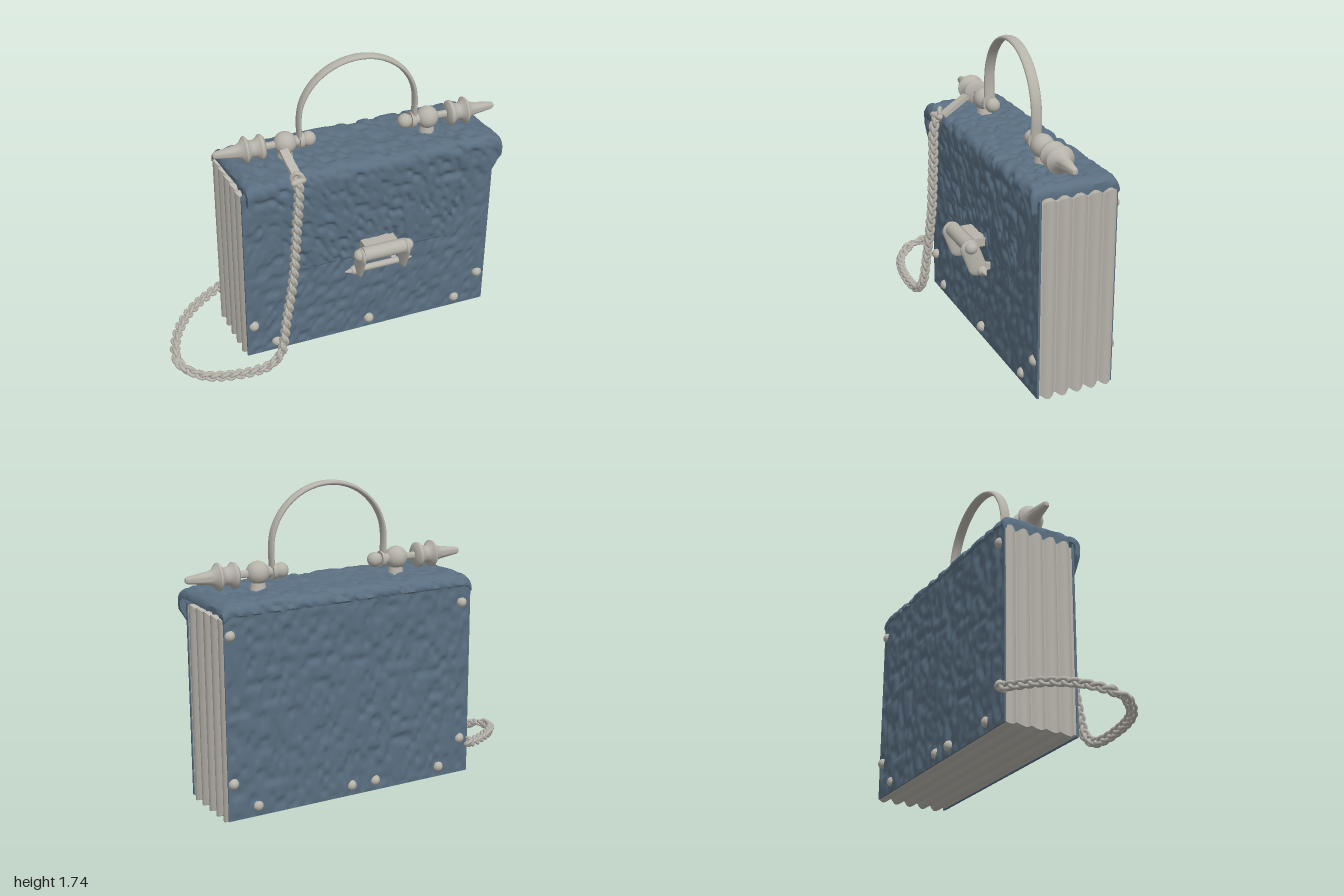
import * as THREE from 'three';
import { toCreasedNormals } from 'three/addons/utils/BufferGeometryUtils.js';

const V = (x, y, z) => new THREE.Vector3(x, y, z);

// smooth value noise for the dented hide
function hash(i, j) {
  const s = Math.sin(i * 127.1 + j * 311.7) * 43758.5453;
  return s - Math.floor(s);
}
function noise(u, v) {
  const i = Math.floor(u), j = Math.floor(v);
  const f = u - i, g = v - j;
  const a = f * f * (3 - 2 * f), b = g * g * (3 - 2 * g);
  const lo = hash(i, j) * (1 - a) + hash(i + 1, j) * a;
  const hi = hash(i, j + 1) * (1 - a) + hash(i + 1, j + 1) * a;
  return lo * (1 - b) + hi * b;
}
const dent = (along, down) => 0.026 * noise(along * 37 + down * 6, down * 22) ** 2.5;

// closed rings joined into a skin
function loft(rings, crease) {
  const n = rings[0].length, index = [];
  for (let i = 0; i < rings.length - 1; i++) {
    for (let j = 0; j < n; j++) {
      const a = i * n + j, b = i * n + (j + 1) % n, c = a + n, d = b + n;
      index.push(a, b, c, b, d, c);
    }
  }
  const geo = new THREE.BufferGeometry().setFromPoints(rings.flat());
  geo.setIndex(index);
  return toCreasedNormals(geo, crease);
}

export function createModel() {
  const model = new THREE.Group();
  const hide = new THREE.MeshStandardMaterial({ color: 0x5a6f81 });
  hide.name = 'blue hide';
  const metal = new THREE.MeshStandardMaterial({ color: 0xb6b3aa });
  metal.name = 'pale grey';

  const bag = new THREE.Group();
  bag.name = 'bag';
  bag.position.set(-0.005, 0, -0.205);
  bag.rotation.y = -0.267;
  model.add(bag);

  const add = (parent, name, geo, mat, x = 0, y = 0, z = 0) => {
    const m = new THREE.Mesh(geo, mat);
    m.name = name;
    m.position.set(x, y, z);
    parent.add(m);
    return m;
  };
  const ball = (parent, name, r, x, y, z) =>
    add(parent, name, new THREE.SphereGeometry(r, 20, 14), metal, x, y, z);
  // cylinder lying along the bag
  const rod = (parent, name, r0, r1, len, x, y, z) =>
    add(parent, name, new THREE.CylinderGeometry(r1, r0, len, 16).rotateX(Math.PI / 2), metal, x, y, z);

  // pleated bellows between the two side panels, ends slightly skewed
  const pleats = 5, steps = 10, rings = [];
  for (let i = 0; i <= pleats * steps; i++) {
    const x = -0.219 + 0.434 * i / (pleats * steps);
    const d = 0.024 * (1 - Math.abs(Math.sin(Math.PI * (i / steps + 0.15)))) ;
    const s = 0.765 - d, lo = 0.002 + d, hi = 1.12 - d, k = -0.047 * x;
    rings.push([V(x, lo, k + s), V(x, lo, k - s), V(x, hi, k - s), V(x, hi, k + s)]);
  }
  add(bag, 'bellows', loft(rings, 0.6), metal);

  // dented side panels, flat at the rim
  for (const side of [1, -1]) {
    const geo = new THREE.BoxGeometry(0.012, 1.11, 1.508, 1, 76, 100);
    const p = geo.attributes.position;
    for (let i = 0; i < p.count; i++) {
      if (p.getX(i) * side > 0) {
        const rim = Math.min(0.555 - Math.abs(p.getY(i)), 0.754 - Math.abs(p.getZ(i)));
        const depth = dent(p.getZ(i) + 5 * side, p.getY(i)) - 0.006;
        p.setX(i, p.getX(i) - side * Math.min(depth, 0.009) * Math.min(1, rim / 0.03));
      }
    }
    geo.computeVertexNormals();
    add(bag, side > 0 ? 'leftPanel' : 'rightPanel', geo, hide, side * 0.217, 0.567, -0.011 * side);
  }

  // lining that fills the space under the lid
  add(bag, 'lidLining', new THREE.BoxGeometry(0.41, 0.08, 1.45), hide, 0, 1.125, 0);

  // lid that wraps over the top and narrows into the front flap
  const path = new THREE.CatmullRomCurve3([
    V(-0.228, 1.12, 0), V(-0.222, 1.155, 0), V(-0.195, 1.181, 0), V(0, 1.19, 0), V(0.2, 1.196, 0),
    V(0.25, 1.19, 0), V(0.271, 1.16, 0), V(0.27, 1.09, 0), V(0.256, 0.83, 0), V(0.241, 0.555, 0)]);
  const rows = 100, cols = 100, lid = [];
  for (let i = 0; i <= rows; i++) {
    const t = i / rows, c = path.getPointAt(t), g = path.getTangentAt(t);
    const k = c.x > 0 ? THREE.MathUtils.clamp((1.1 - c.y) / 0.545, 0, 1) : 0;
    const skew = -0.09 * c.x * (1 - k);
    const z0 = -0.764 + 0.284 * k + skew, z1 = 0.748 - 0.318 * k + skew;
    const thick = i === 0 || i === rows ? 0 : 0.026;
    const outer = [], inner = [];
    for (let j = 0; j <= cols; j++) {
      const z = z0 + (z1 - z0) * j / cols;
      const rim = Math.min(1, Math.min(z - z0, z1 - z) / 0.05);
      // the ends of the top sag slightly
      const y = c.y - 0.028 * (1 - rim) ** 2 * (1 - k);
      const h = thick ? 0.006 - dent(z + 9, t * 1.25) * (0.3 + 0.7 * rim) : -0.008;
      outer.push(V(c.x - g.y * h, y + g.x * h, z));
      inner.unshift(V(c.x + g.y * thick, y - g.x * thick, z));
    }
    lid.push(outer.concat(inner));
  }
  add(bag, 'lidAndFlap', loft(lid, 0.9), hide);

  // domed rivets: [along, height]
  const leftRivets = [[0.7, 0.22], [0.565, 0.07], [-0.015, 0.07], [-0.575, 0.07], [-0.72, 0.22]];
  const rightRivets = [[0.71, 0.22], [0.57, 0.07], [0.15, 0.07], [0, 0.07], [-0.57, 0.07], [-0.71, 0.22], [0.71, 1.03], [-0.71, 1.03]];
  for (const [s, y] of leftRivets) ball(bag, 'rivet', 0.03, 0.22, y, s);
  for (const [s, y] of rightRivets) ball(bag, 'rivet', 0.03, -0.217, y, s);

  // carrying hardware, turned a touch against the bag
  const carrier = new THREE.Group();
  carrier.name = 'carryingHardware';
  carrier.position.set(0.035, 0, 0);
  carrier.rotation.y = -0.035;
  bag.add(carrier);

  // handle mounts with turned finials, one at each end
  const finial = [[0, 0], [0.02, 0], [0.02, 0.115], [0.055, 0.118], [0.07, 0.13], [0.072, 0.145], [0.052, 0.165], [0.046, 0.19],
    [0.053, 0.205], [0.077, 0.222], [0.075, 0.232], [0.046, 0.255], [0.037, 0.28], [0.034, 0.3], [0.02, 0.395], [0.013, 0.407], [0, 0.411]]
    .map(([r, h]) => new THREE.Vector2(r, h));
  for (const end of [1, -1]) {
    const mount = new THREE.Group();
    mount.name = end > 0 ? 'frontMount' : 'backMount';
    mount.position.set(0, 1.275, 0.42 * end);
    if (end < 0) mount.rotation.y = Math.PI;
    carrier.add(mount);
    ball(mount, 'mountBall', 0.064, 0, 0, 0);
    add(mount, 'pedestal', new THREE.CylinderGeometry(0.033, 0.048, 0.08, 20), metal, 0, -0.065, 0);
    add(mount, 'finial', toCreasedNormals(new THREE.LatheGeometry(finial, 24).rotateX(Math.PI / 2), 0.7), metal);
    rod(mount, 'handlePivot', 0.03, 0.03, 0.14, 0, 0, -0.07);
    rod(mount, 'pivotCollar', 0.045, 0.045, 0.025, 0, 0, -0.09);
    ball(mount, 'pivotKnob', 0.042, 0, 0, -0.135);
  }

  // flat banded arch handle
  const arch = [V(0, 1.25, 0.335), V(0, 1.32, 0.338)];
  for (let i = 0; i <= 12; i++) {
    const a = Math.PI * i / 12;
    arch.push(V(0, 1.4 + 0.328 * Math.sin(a), 0.34 * Math.cos(a)));
  }
  arch.push(V(0, 1.32, -0.338), V(0, 1.25, -0.335));
  const handle = new THREE.TubeGeometry(new THREE.CatmullRomCurve3(arch), 64, 0.014, 12);
  add(carrier, 'handle', handle.scale(2.2, 1, 1), metal);

  // clasp on the flap
  const clasp = new THREE.Group();
  clasp.name = 'clasp';
  clasp.position.z = -0.04;
  bag.add(clasp);
  rod(clasp, 'claspRoller', 0.042, 0.042, 0.25, 0.352, 0.655, 0);
  rod(clasp, 'claspPin', 0.019, 0.019, 0.32, 0.29, 0.51, 0);
  add(clasp, 'claspPlate', new THREE.BoxGeometry(0.07, 0.05, 0.2), metal, 0.28, 0.655, 0);
  for (const end of [1, -1]) {
    const link = add(clasp, 'claspLink', new THREE.CapsuleGeometry(0.053, 0.12, 6, 16), metal, 0.334, 0.588, 0.135 * end);
    link.scale.z = 0.32;
    link.rotation.z = -0.36;
    ball(clasp, 'rollerCap', 0.036, 0.352, 0.655, 0.145 * end);
    ball(clasp, 'pinCap', 0.028, 0.29, 0.51, 0.15 * end);
    rod(clasp, 'pinTip', end > 0 ? 0.022 : 0.003, end > 0 ? 0.003 : 0.022, 0.055, 0.29, 0.51, 0.182 * end);
    rod(clasp, 'pinAnchor', 0.02, 0.02, 0.03, 0.255, 0.51, 0.1 * end).scale.x = 2.5;
  }

  // chain that hangs from the lid, sweeps over the ground and returns to the corner
  const chain = new THREE.Group();
  chain.name = 'chain';
  model.add(chain);
  const route = new THREE.CatmullRomCurve3([
    [0.15, 1.215, 0.3], [0.178, 1.16, 0.31], [0.18, 0.9, 0.33], [0.18, 0.6, 0.355], [0.18, 0.3, 0.41], [0.186, 0.1, 0.455],
    [0.178, 0.035, 0.53], [0.13, 0.04, 0.74], [0.03, 0.06, 0.91], [-0.1, 0.095, 0.968], [-0.25, 0.135, 0.885], [-0.37, 0.165, 0.72],
    [-0.43, 0.18, 0.54], [-0.44, 0.19, 0.47]].map(p => V(...p)));
  const linkGeo = new THREE.TorusGeometry(0.021, 0.0105, 7, 12).scale(1.25, 1, 1);
  const count = Math.round(route.getLength() / 0.028);
  for (let i = 0; i <= count; i++) {
    const t = i / count, p = route.getPointAt(t);
    const m = add(chain, 'chainLink', linkGeo, metal, p.x, p.y, p.z);
    m.quaternion.setFromUnitVectors(V(1, 0, 0), route.getTangentAt(t));
    m.rotateX(i % 2 ? 0.8 : -0.8);
    m.rotateY(0.3);
  }

  // strap and rings holding the chain ends
  const strap = add(chain, 'chainStrap', new THREE.BoxGeometry(0.18, 0.024, 0.05), metal, 0.06, 1.245, 0.28);
  strap.rotation.set(0, -0.12, -0.52);
  const ring = add(chain, 'strapRing', new THREE.TorusGeometry(0.03, 0.013, 8, 18), metal, 0.15, 1.21, 0.3);
  ring.rotation.y = 0.9;
  add(chain, 'ringBar', new THREE.CapsuleGeometry(0.018, 0.06, 4, 12).rotateX(Math.PI / 2), metal, 0.17, 1.2, 0.305);
  add(chain, 'cornerRing', new THREE.TorusGeometry(0.024, 0.01, 8, 16), metal, -0.43, 0.19, 0.475);

  return model;
}
